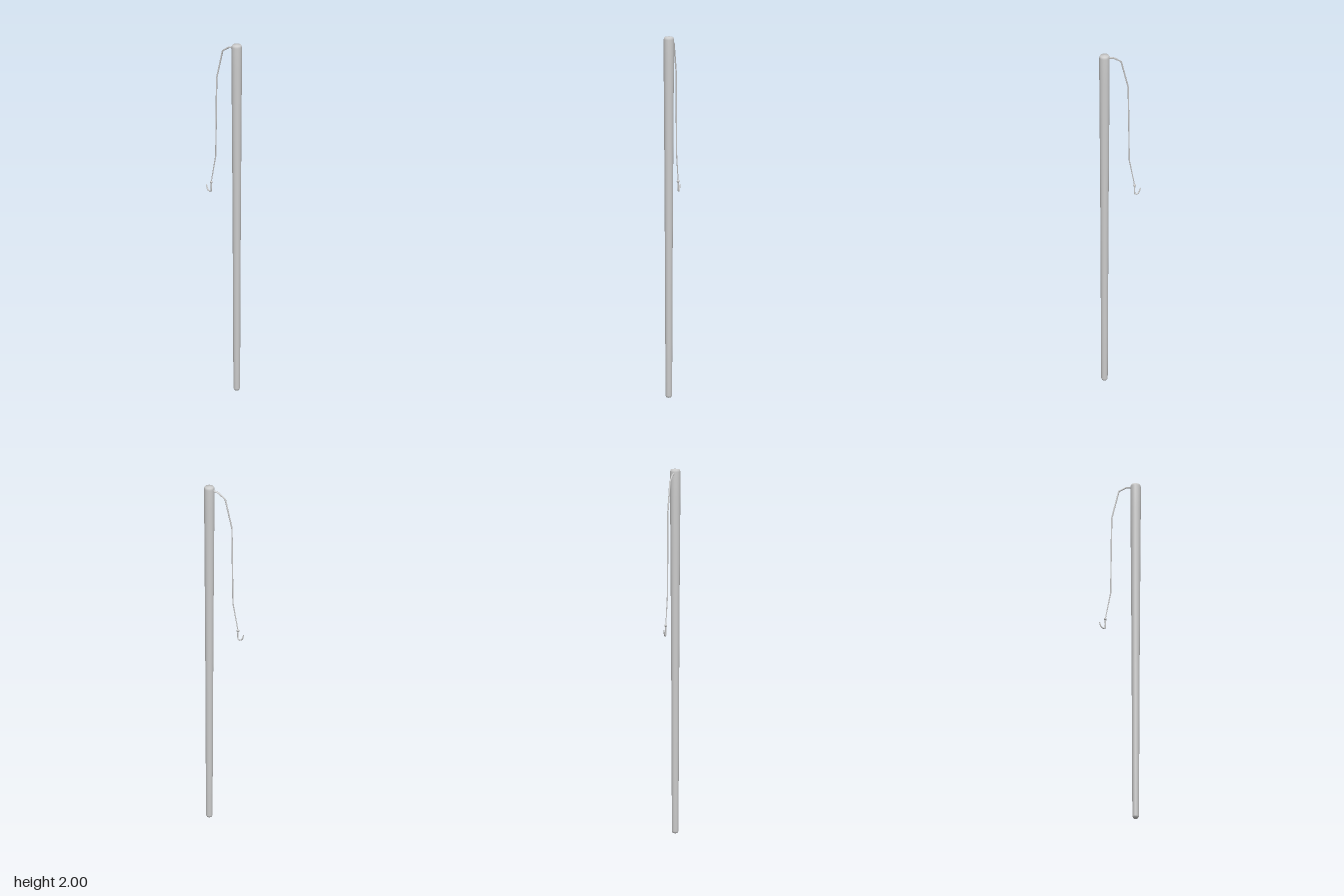
import * as THREE from 'three';

const material = new THREE.MeshStandardMaterial({ color: 0xcccccc });

// Tapered tube along a path in the x-y plane; each point is [x, y, radius]
function taperedTube(points, sides) {
  const positions = [], indices = [];
  points.forEach(([x, y, r], i) => {
    const a = points[Math.max(i - 1, 0)];
    const b = points[Math.min(i + 1, points.length - 1)];
    const t = new THREE.Vector2(b[0] - a[0], b[1] - a[1]).normalize();
    for (let j = 0; j < sides; j++) {
      const angle = (j / sides) * Math.PI * 2;
      const n = r * Math.cos(angle);
      positions.push(x - t.y * n, y + t.x * n, r * Math.sin(angle));
      if (i === points.length - 1) continue;
      const p = i * sides + j, q = i * sides + (j + 1) % sides;
      indices.push(p, q, p + sides, q, q + sides, p + sides);
    }
  });
  const geometry = new THREE.BufferGeometry();
  geometry.setAttribute('position', new THREE.Float32BufferAttribute(positions, 3));
  geometry.setIndex(indices);
  geometry.computeVertexNormals();
  return geometry;
}

export function createModel() {
  const model = new THREE.Group();
  model.name = 'fishingPole';
  const add = (name, geometry, x = 0, y = 0) => {
    const mesh = new THREE.Mesh(geometry, material);
    mesh.name = name;
    mesh.position.set(x, y, 0);
    model.add(mesh);
  };

  // Tapered pole with softly rounded ends, thicker at the top
  const profile = [
    [0, 0], [0.013, 0.002], [0.018, 0.012], [0.0195, 0.3], [0.021, 0.7],
    [0.0235, 1.15], [0.0265, 1.6], [0.0285, 1.85], [0.029, 1.985], [0.024, 1.997], [0, 2],
  ].map(([r, y]) => new THREE.Vector2(r, y));
  add('pole', new THREE.LatheGeometry(profile, 14), 0.09, 0);

  // Line hanging from the pole tip, thinning toward the hook
  add('line', taperedTube([
    [0.08, 1.977, 0.005], [0.06, 1.976, 0.005], [0.035, 1.971, 0.005], [-0.007, 1.942, 0.0045],
    [-0.048, 1.775, 0.004], [-0.054, 1.325, 0.0035], [-0.085, 1.165, 0.0025],
  ], 8));

  // Knot and curved hook
  add('knot', new THREE.SphereGeometry(0.008, 10, 8), -0.085, 1.165);
  add('hook', taperedTube([
    [-0.085, 1.168, 0.004], [-0.084, 1.135, 0.004], [-0.085, 1.113, 0.004],
    [-0.093, 1.109, 0.004], [-0.104, 1.112, 0.004], [-0.113, 1.124, 0.0038],
    [-0.118, 1.141, 0.003], [-0.119, 1.146, 0.0003],
  ], 8));

  return model;
}
